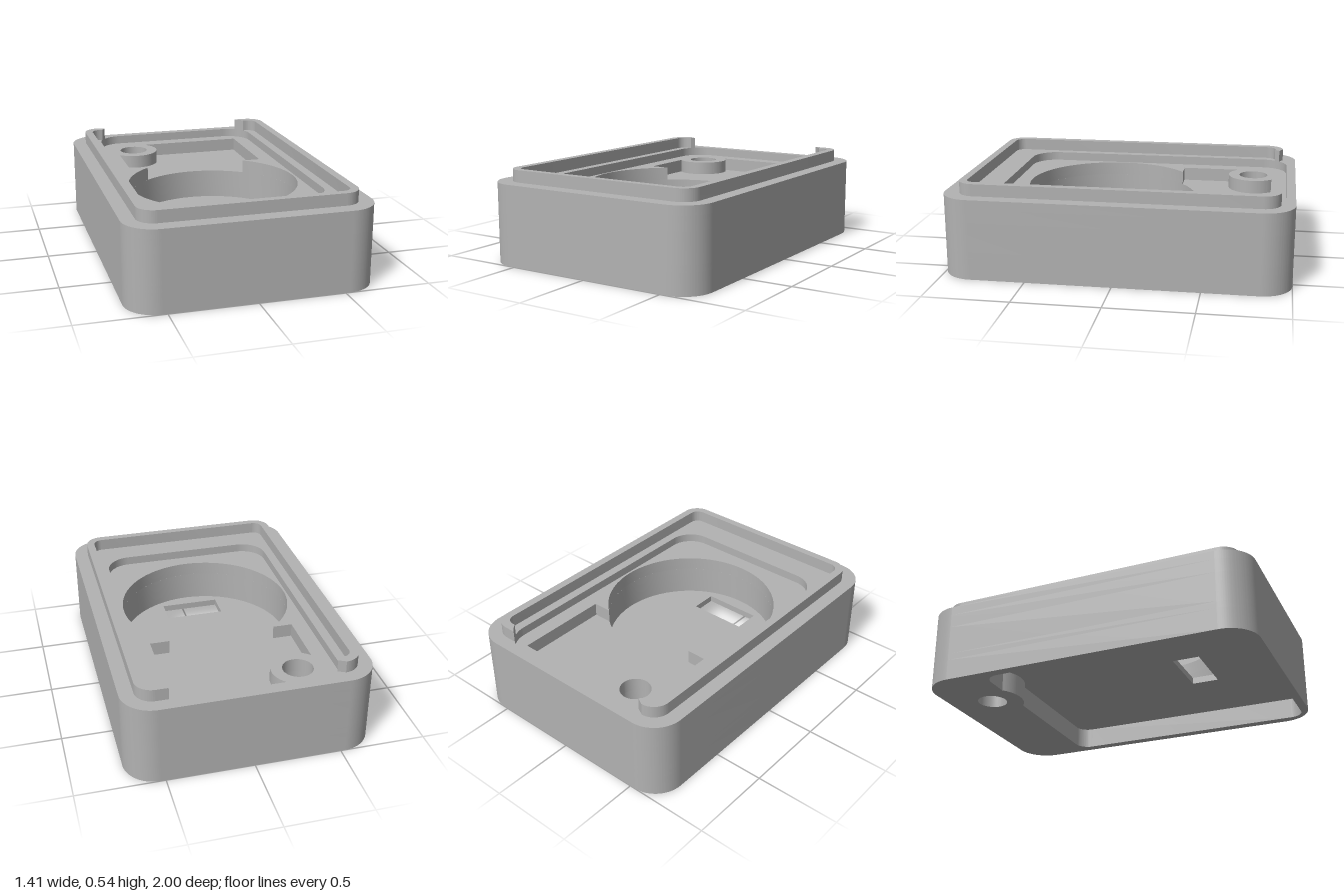
import * as THREE from 'three';
import { toCreasedNormals } from 'three/addons/utils/BufferGeometryUtils.js';

const PI = Math.PI;
const grey = new THREE.MeshStandardMaterial({ color: 0xb2b2b2 });
grey.name = 'grey plastic';

// Plan coordinates: u = x, v = -z (v points to the back).
const bore = { u: -0.315, v: 0.74, r: 0.088 };
const boss = 0.155;
const well = { v: -0.11, r: 0.51 };

// Rounded rectangle; notch() may add points on the back edge.
function roundRect(path, u0, v0, u1, v1, r, notch) {
  path.absarc(u0 + r, v0 + r, r, PI, 1.5 * PI, false);
  path.absarc(u1 - r, v0 + r, r, 1.5 * PI, 2 * PI, false);
  path.absarc(u1 - r, v1 - r, r, 0, PI / 2, false);
  if (notch) notch(path);
  path.absarc(u0 + r, v1 - r, r, PI / 2, PI, false);
  path.closePath();
  return path;
}

const circle = (u, v, r) => new THREE.Path().absarc(u, v, r, 0, 2 * PI, false);
const boreHole = () => circle(bore.u, bore.v, bore.r);

// Extrudes a plan shape between two heights.
function slab(name, shape, y0, y1) {
  const geo = new THREE.ExtrudeGeometry(shape, { depth: y1 - y0, bevelEnabled: false, curveSegments: 28 });
  geo.rotateX(-PI / 2);
  geo.translate(0, y0, 0);
  const mesh = new THREE.Mesh(toCreasedNormals(geo, 0.5), grey);
  mesh.name = name;
  return mesh;
}

function bodyShape(...holes) {
  const s = roundRect(new THREE.Shape(), -0.707, -1, 0.707, 1, 0.18);
  s.holes.push(...holes);
  return s;
}

// Underside recess, bulging around the bore
function recessPath() {
  const r = 0.19, dv = 0.6 - bore.v, du = Math.sqrt(r * r - dv * dv);
  return roundRect(new THREE.Path(), -0.65, -0.95, 0.65, 0.6, 0.08, (p) =>
    p.absarc(bore.u, bore.v, r, Math.atan2(dv, du), Math.atan2(dv, -du), true));
}

// Round well joined with the rectangular pocket, leaving the bore's boss
function wellAndPocketPath() {
  const w = 0.43, v0 = 0.29, v1 = 0.855;
  const dv = v0 - well.v, du = Math.sqrt(well.r ** 2 - dv * dv);
  const bv = v1 - bore.v, bu = Math.sqrt(boss ** 2 - bv * bv);
  const cu = -w - bore.u, cv = -Math.sqrt(boss ** 2 - cu * cu);
  const p = new THREE.Path();
  p.moveTo(du, v0);
  p.lineTo(w, v0);
  p.lineTo(w, v1);
  p.absarc(bore.u, bore.v, boss, Math.atan2(bv, bu), Math.atan2(cv, cu), true);
  p.lineTo(-w, v0);
  p.absarc(0, well.v, well.r, Math.atan2(dv, -du), Math.atan2(dv, du) + 2 * PI, false);
  return p;
}

// Raised lip, open at the back
function lipShape() {
  const s = new THREE.Shape();
  const U = 0.625, B = 0.92, F = -0.91, R = 0.1;
  const u = 0.577, b = 0.87, f = -0.865, r = 0.055;
  s.moveTo(-0.456, B);
  s.absarc(-U + R, B - R, R, PI / 2, PI, false);
  s.absarc(-U + R, F + R, R, PI, 1.5 * PI, false);
  s.absarc(U - R, F + R, R, 1.5 * PI, 2 * PI, false);
  s.absarc(U - R, B - R, R, 0, PI / 2, false);
  s.lineTo(0.456, B);
  s.lineTo(0.483, 0.897);
  s.lineTo(0.503, b);
  s.absarc(u - r, b - r, r, PI / 2, 0, true);
  s.absarc(u - r, f + r, r, 0, -PI / 2, true);
  s.absarc(-u + r, f + r, r, -PI / 2, -PI, true);
  s.absarc(-u + r, b - r, r, PI, PI / 2, true);
  s.lineTo(-0.503, b);
  s.lineTo(-0.483, 0.897);
  s.closePath();
  return s;
}

export function createModel() {
  const group = new THREE.Group();
  group.name = 'enclosure';

  // Rectangular slot through the floor
  const slot = new THREE.Path();
  slot.moveTo(-0.178, -0.54);
  slot.lineTo(0.178, -0.54);
  slot.lineTo(0.178, -0.38);
  slot.lineTo(-0.178, -0.38);
  slot.closePath();

  const tray = roundRect(new THREE.Path(), -0.523, -0.71, 0.523, 0.945, 0.15);

  group.add(
    slab('baseRim', bodyShape(recessPath(), boreHole()), 0, 0.125),
    slab('floorPlate', bodyShape(slot, boreHole()), 0.125, 0.164),
    slab('wellWall', bodyShape(circle(0, well.v, well.r), boreHole()), 0.164, 0.34),
    slab('pocketWall', bodyShape(wellAndPocketPath(), boreHole()), 0.34, 0.42),
    slab('trayWall', bodyShape(tray), 0.42, 0.472),
    slab('lip', lipShape(), 0.472, 0.543)
  );
  return group;
}
